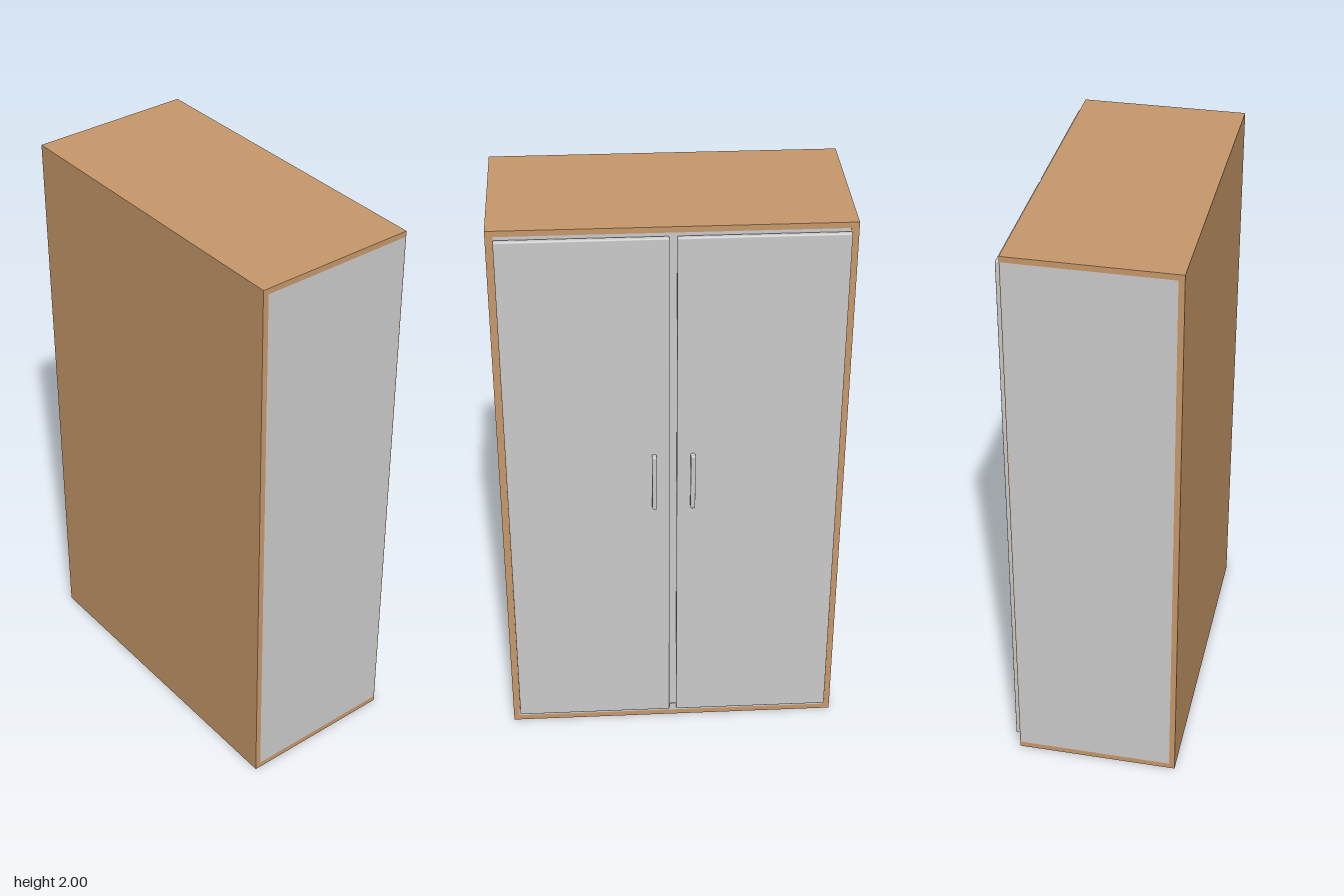
import * as THREE from 'three';
import { RoundedBoxGeometry } from 'three/addons/geometries/RoundedBoxGeometry.js';

const W = 1.17, H = 2, FRONT = 0.305, BACK = -0.26, T = 0.02;

export function createModel() {
  const group = new THREE.Group();
  const wood = new THREE.MeshStandardMaterial({ color: 0xc8996b });
  const grey = new THREE.MeshStandardMaterial({ color: 0xcccccc });

  const add = (name, geometry, material, x, y, z) => {
    const mesh = new THREE.Mesh(geometry, material);
    mesh.name = name;
    mesh.position.set(x, y, z);
    group.add(mesh);
  };
  // Box given by its lower and upper corners
  const panel = (name, material, [x0, y0, z0], [x1, y1, z1]) =>
    add(name, new THREE.BoxGeometry(x1 - x0, y1 - y0, z1 - z0), material,
      (x0 + x1) / 2, (y0 + y1) / 2, (z0 + z1) / 2);

  // Wooden shell: bottom, top and the plain closing panel
  const w = W / 2;
  panel('bottomPanel', wood, [-w, 0, BACK], [w, T, FRONT]);
  panel('topPanel', wood, [-w, H - T, BACK], [w, H, FRONT]);
  panel('closingPanel', wood, [-w, T, FRONT - T], [w, H - T, FRONT]);

  // Grey lining between the doors and around them
  panel('centreDivider', grey, [-0.03, T, BACK + 0.003], [0.03, H - T, FRONT - T]);
  panel('plinth', grey, [-w + T, T, BACK], [w - T, 0.05, BACK + 0.03]);
  panel('headRail', grey, [-w + T, H - 0.045, BACK + 0.003], [w - T, H - T, BACK + 0.03]);

  for (const s of [-1, 1]) {
    const side = s < 0 ? 'right' : 'left';
    // Side panel with a wooden edging strip
    const a = s < 0 ? -w : w - 0.025;
    panel(side + 'SidePanel', grey, [a, T, BACK + 0.003], [a + 0.025, H - T, FRONT - T]);
    panel(side + 'Edging', wood, [a, T, BACK], [a + 0.025, H - T, BACK + 0.003]);

    // Door with softened edges, and its upright handle
    add(side + 'Door', new RoundedBoxGeometry(0.549, 1.93, 0.02, 3, 0.005), grey,
      s * 0.287 - 0.001, 1.005, -0.27);
    add(side + 'Handle', new RoundedBoxGeometry(0.016, 0.212, 0.026, 3, 0.005), grey,
      s * 0.065 - 0.002, 1.065, -0.292);
  }
  return group;
}
